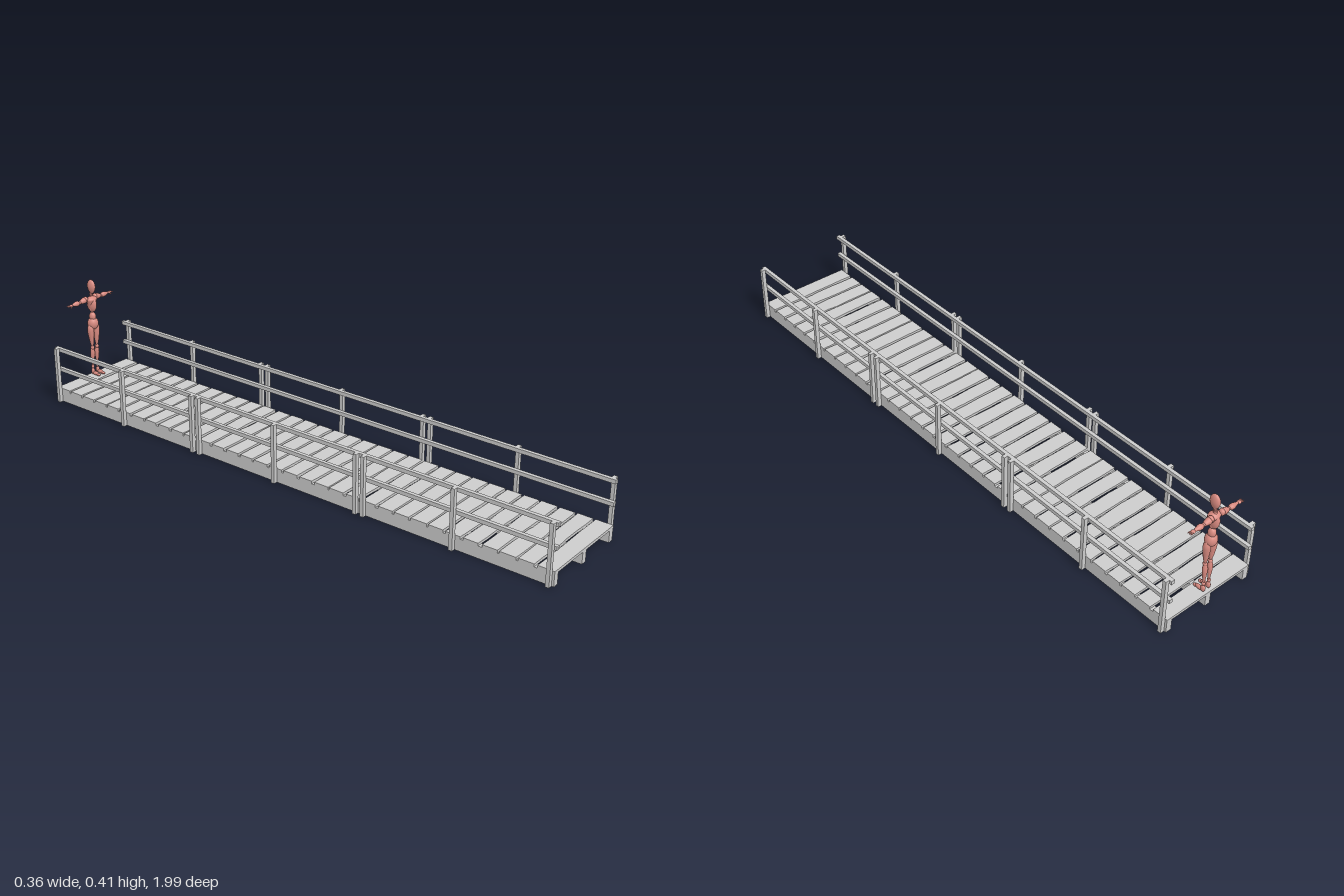
import * as THREE from 'three';

const grey = new THREE.MeshStandardMaterial({ name: 'grey timber', color: 0xcccccc });
const salmon = new THREE.MeshStandardMaterial({ name: 'salmon body', color: 0xd88a80 });

let seed = 7;
const rand = () => (seed = (seed * 16807) % 2147483647) / 2147483647;

function add(parent, name, geometry, material, x = 0, y = 0, z = 0) {
  const mesh = new THREE.Mesh(geometry, material);
  mesh.name = name;
  mesh.position.set(x, y, z);
  parent.add(mesh);
  return mesh;
}

const box = (parent, name, w, h, d, x, y, z) =>
  add(parent, name, new THREE.BoxGeometry(w, h, d), grey, x, y, z);

function ball(parent, name, [rx, ry, rz], [x, y, z]) {
  return add(parent, name, new THREE.SphereGeometry(1, 20, 14).scale(rx, ry, rz), salmon, x, y, z);
}

// Turned limb from a to b; radii are spread evenly along it
function limb(parent, name, a, b, radii, depth = 1) {
  const from = new THREE.Vector3(...a), dir = new THREE.Vector3(...b).sub(from);
  const length = dir.length();
  const curve = new THREE.SplineCurve(radii.map((r, i) => new THREE.Vector2(r, (i / (radii.length - 1)) * length)));
  const points = curve.getPoints(18).map(p => new THREE.Vector2(Math.max(p.x, 0), p.y));
  const mesh = add(parent, name, new THREE.LatheGeometry(points, 16).scale(1, 1, depth), salmon, ...a);
  mesh.quaternion.setFromUnitVectors(new THREE.Vector3(0, 1, 0), dir.normalize());
  return mesh;
}

// Plank with slightly wandering long edges
function plank(parent, z, pitch, straightBack, straightFront) {
  const xs = [-0.166, -0.12, -0.07, -0.012, 0.012, 0.07, 0.12, 0.166];
  const edge = straight => {
    const left = rand() * 0.004, right = rand() * 0.004;
    return xs.map(x => straight ? 0 : 0.001 + (x < 0 ? left : right) + rand() * 0.0025);
  };
  const front = edge(straightFront), back = edge(straightBack);
  const outline = xs.map((x, i) => new THREE.Vector2(x, -pitch / 2 + front[i]));
  for (let i = xs.length - 1; i >= 0; i--) outline.push(new THREE.Vector2(xs[i], pitch / 2 - back[i]));
  const geometry = new THREE.ExtrudeGeometry(new THREE.Shape(outline), { depth: 0.008 + rand() * 0.0015, bevelEnabled: false });
  add(parent, 'plank', geometry.rotateX(-Math.PI / 2), grey, 0, 0.04, z);
}

function createBridge() {
  const bridge = new THREE.Group();
  bridge.name = 'footbridge';
  const start = -0.99, sections = 3, length = 1.99 / sections, perSection = 11;
  for (let s = 0; s < sections; s++) {
    const section = new THREE.Group();
    section.name = 'bridgeSection';
    bridge.add(section);
    const z0 = start + s * length, mid = z0 + length / 2;
    // Supporting beams
    for (const x of [-0.156, 0, 0.156]) box(section, 'beam', 0.02, 0.04, length - 0.001, x, 0.02, mid);
    // Railings on both sides
    for (const side of [-1, 1]) {
      for (const z of [z0 + 0.014, mid, z0 + length - 0.014])
        box(section, 'railingPost', 0.0135, 0.2, 0.0125, side * 0.173, 0.1, z);
      for (const y of [0.1205, 0.1935])
        box(section, 'handrail', 0.0125, 0.013, length, side * 0.16, y, mid);
    }
    // Deck planks
    const pitch = length / perSection;
    for (let i = 0; i < perSection; i++) {
      plank(section, z0 + (i + 0.5) * pitch, pitch, s === 0 && i === 0, s === sections - 1 && i === perSection - 1);
    }
  }
  return bridge;
}

function createFigure() {
  const figure = new THREE.Group();
  figure.name = 'mannequin';
  // Head and neck
  const head = ball(figure, 'head', [0.0105, 0.0255, 0.018], [0, 0.3795, 0.003]);
  const p = head.geometry.attributes.position;
  for (let i = 0; i < p.count; i++) {
    const taper = 1 + 7 * Math.min(p.getY(i), 0);
    p.setX(i, p.getX(i) * taper);
    p.setZ(i, p.getZ(i) * taper);
  }
  head.geometry.computeVertexNormals();
  limb(figure, 'neck', [0, 0.34, -0.002], [0, 0.362, 0], [0.007, 0.0045, 0.0055]);
  for (const y of [0.348, 0.354])
    add(figure, 'neckRing', new THREE.TorusGeometry(0.004, 0.0022, 8, 16).rotateX(Math.PI / 2), salmon, 0, y, -0.001);
  // Torso
  limb(figure, 'chest', [0, 0.281, 0], [0, 0.347, 0], [0, 0.0105, 0.012, 0.015, 0.019, 0.021, 0], 0.75);
  ball(figure, 'ribcage', [0.013, 0.03, 0.021], [0, 0.315, 0]);
  ball(figure, 'waist', [0.012, 0.017, 0.013], [0, 0.268, 0]);
  ball(figure, 'pelvis', [0.02, 0.023, 0.019], [0, 0.243, 0]);

  for (const s of [-1, 1]) {
    // Arm stretched out sideways
    const az = -0.007;
    ball(figure, 'shoulder', [0.009, 0.011, 0.01], [s * 0.022, 0.335, az]);
    limb(figure, 'upperArm', [s * 0.02, 0.335, az], [s * 0.05, 0.331, az], [0.004, 0.0105, 0.0095, 0.008, 0.004]);
    ball(figure, 'elbow', [0.006, 0.0065, 0.006], [s * 0.049, 0.331, az]);
    limb(figure, 'forearm', [s * 0.049, 0.331, az], [s * 0.085, 0.332, az], [0.003, 0.0085, 0.0085, 0.006, 0.0035]);
    ball(figure, 'hand', [0.008, 0.0045, 0.007], [s * 0.09, 0.331, az]);
    for (let i = 0; i < 4; i++)
      limb(figure, 'finger', [s * 0.093, 0.332, az + (i - 1.5) * 0.003], [s * 0.107, 0.331, az + (i - 1.5) * 0.004], [0.0015, 0.0018, 0]);
    limb(figure, 'thumb', [s * 0.088, 0.33, az + 0.003], [s * 0.097, 0.323, az + 0.007], [0.002, 0.002, 0]);
    // Leg
    limb(figure, 'thigh', [s * 0.0105, 0.155, 0.001], [s * 0.0145, 0.248, 0], [0.003, 0.007, 0.0095, 0.0115, 0.011, 0.0025]);
    ball(figure, 'knee', [0.0065, 0.008, 0.0075], [s * 0.0105, 0.154, 0.001]);
    limb(figure, 'shin', [s * 0.0105, 0.083, -0.003], [s * 0.0105, 0.156, 0], [0.003, 0.005, 0.0075, 0.008, 0.0045]);
    ball(figure, 'ankle', [0.0055, 0.007, 0.006], [s * 0.011, 0.08, -0.003]);
    ball(figure, 'heel', [0.006, 0.012, 0.008], [s * 0.011, 0.062, -0.003]);
    ball(figure, 'foot', [0.0065, 0.007, 0.015], [s * 0.011, 0.057, 0.01]);
    ball(figure, 'toes', [0.0065, 0.0045, 0.008], [s * 0.011, 0.0545, 0.024]);
  }
  figure.position.z = -0.973;
  return figure;
}

export function createModel() {
  const model = new THREE.Group();
  model.name = 'footbridgeWithMannequin';
  model.add(createBridge(), createFigure());
  return model;
}
